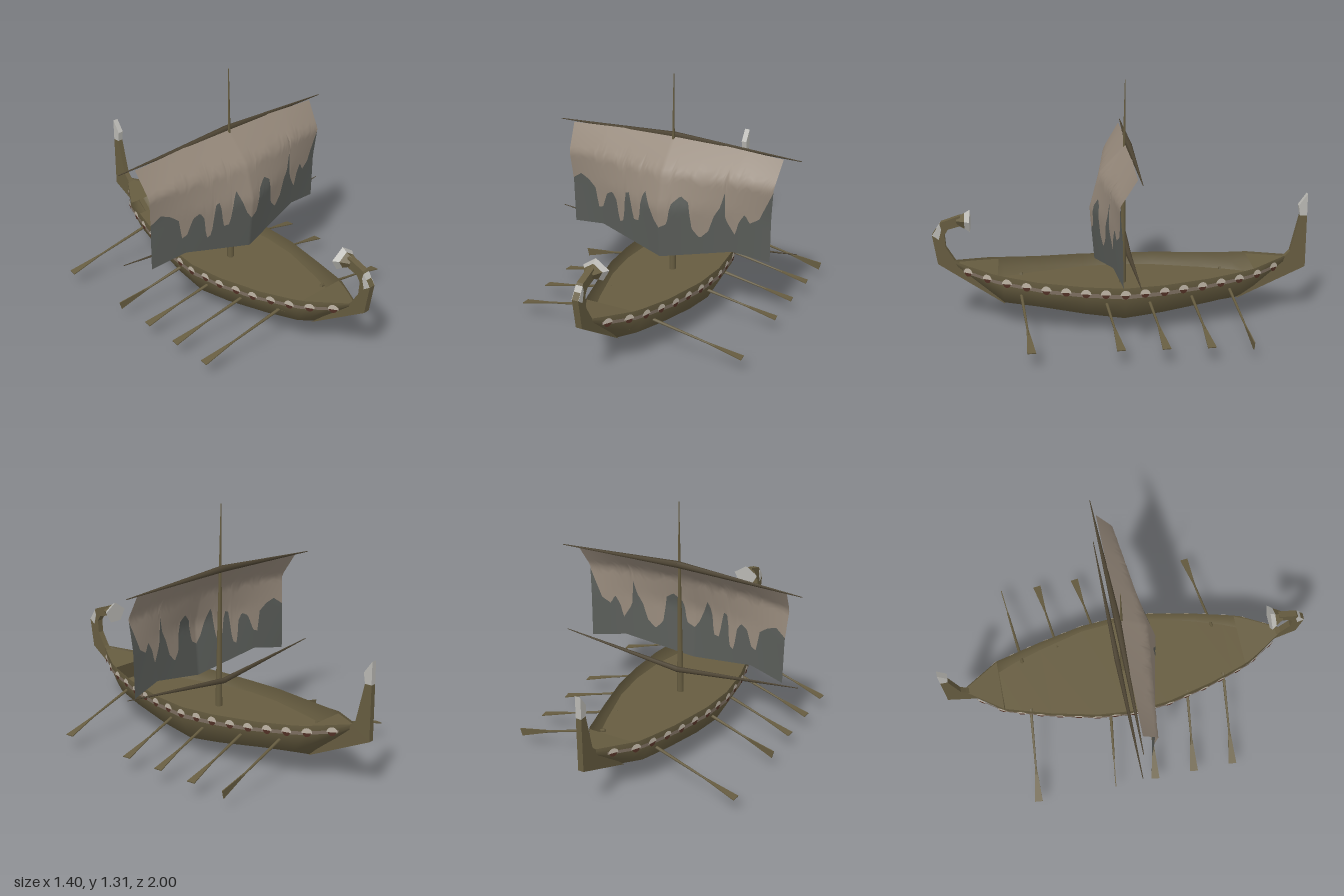
import * as THREE from 'three';

const mat = (name, color, side = THREE.FrontSide) => {
  const m = new THREE.MeshStandardMaterial({ color, side });
  m.name = name;
  return m;
};

// Piecewise linear lookup in [[key, value], ...]
function lerpTable(table, k) {
  if (k <= table[0][0]) return table[0][1];
  for (let i = 1; i < table.length; i++) {
    const [a, va] = table[i - 1], [b, vb] = table[i];
    if (k <= b) return va + (vb - va) * (k - a) / (b - a);
  }
  return table[table.length - 1][1];
}

// Smooth grid surface from fn(i, j) -> [x, y, z]
function gridSurface(fn, nu, nv) {
  const pos = [], index = [];
  for (let i = 0; i <= nu; i++) for (let j = 0; j <= nv; j++) pos.push(...fn(i, j));
  for (let i = 0; i < nu; i++) for (let j = 0; j < nv; j++) {
    const a = i * (nv + 1) + j, b = a + nv + 1;
    index.push(a, b, a + 1, b, b + 1, a + 1);
  }
  const g = new THREE.BufferGeometry();
  g.setAttribute('position', new THREE.Float32BufferAttribute(pos, 3));
  g.setIndex(index);
  g.computeVertexNormals();
  return g;
}

// Flat plate from a [z, y] outline, centred on x = 0
function keelPlate(points, depth) {
  const s = new THREE.Shape(points.map(p => new THREE.Vector2(...p)));
  const g = new THREE.ExtrudeGeometry(s, { depth, bevelEnabled: false });
  return g.translate(0, 0, -depth / 2).rotateY(-Math.PI / 2);
}

// Hull tables along z
const stations = [-0.9, -0.8, -0.7, -0.63, -0.45, -0.2, 0, 0.2, 0.45, 0.63, 0.69, 0.8, 0.89];
const railW = [[-0.9, 0.006], [-0.7, 0.14], [-0.45, 0.21], [-0.2, 0.265], [0, 0.28], [0.2, 0.265],
  [0.43, 0.215], [0.68, 0.14], [0.8, 0.068], [0.89, 0.012]];
const railY = [[-0.9, 0.335], [-0.63, 0.302], [-0.4, 0.284], [0, 0.272], [0.4, 0.285], [0.63, 0.31], [0.89, 0.35]];
const keelY = [[-0.9, 0.305], [-0.63, 0.098], [0, 0], [0.63, 0.105], [0.89, 0.33]];
const section = [[0, 0], [0.3, 0.77], [0.72, 1], [1, 1]];
const halfAt = (z, y) => {
  const k = lerpTable(keelY, z);
  return lerpTable(railW, z) * lerpTable(section, (y - k) / (lerpTable(railY, z) - k));
};

export function createModel() {
  const model = new THREE.Group();
  model.name = 'longship';
  const wood = mat('wood', 0x665c40);
  const woodThin = mat('hull wood', 0x665c40, THREE.DoubleSide);
  const darkWood = mat('spar wood', 0x4d4433);
  const cloth = mat('sail cloth', 0x95887a, THREE.DoubleSide);
  const dirty = mat('stained cloth', 0x595c58, THREE.DoubleSide);
  const bone = mat('pale trim', 0xb9b8b3);
  const band = mat('shield band', 0x7b6d5f, THREE.DoubleSide);
  const pale = mat('shield pale', 0xbdb3a4, THREE.DoubleSide);
  const red = mat('shield red', 0x4f2f24, THREE.DoubleSide);
  const add = (name, geo, m, parent = model) => {
    const mesh = new THREE.Mesh(geo, m);
    mesh.name = name;
    parent.add(mesh);
    return mesh;
  };

  // Hull shell, rail to rail
  const around = [-3, -2, -1, 0, 1, 2, 3];
  add('hull', gridSurface((i, j) => {
    const z = stations[i], s = around[j], [f, w] = section[Math.abs(s)];
    const k = lerpTable(keelY, z);
    return [Math.sign(s) * w * lerpTable(railW, z), k + f * (lerpTable(railY, z) - k), z];
  }, stations.length - 1, 6), woodThin);

  // Floor and raised end decks
  const deck = (name, zs, yOf) => add(name, gridSurface((i, j) => {
    const y = yOf(zs[i]);
    return [(j ? 1 : -1) * halfAt(zs[i], y) * 0.99, y, zs[i]];
  }, zs.length - 1, 1), woodThin);
  deck('floor', [-0.7, -0.6, -0.45, -0.2, 0, 0.2, 0.45, 0.6, 0.68], () => 0.205);
  deck('foreDeck', [0.66, 0.73, 0.8, 0.88], z => lerpTable(railY, z) - 0.012);
  deck('aftDeck', [-0.89, -0.8, -0.7], z => lerpTable(railY, z) - 0.012);
  for (const [name, z0, z1, m] of [['foreBulkhead', 0.68, 0.66, woodThin], ['aftBulkhead', -0.685, -0.7, darkWood]])
    add(name, gridSurface((i, j) => {
      const z = i ? z1 : z0, y = i ? lerpTable(railY, z) - 0.012 : 0.205;
      return [(j ? 1 : -1) * halfAt(z, y) * 0.99, y, z];
    }, 1, 1), m);

  // Curled stem with a flared, pale five-sided end
  add('stem', keelPlate([[0.63, 0.105], [0.975, 0.34], [1, 0.5], [0.95, 0.57], [0.85, 0.603], [0.84, 0.55],
    [0.915, 0.53], [0.935, 0.5], [0.93, 0.43], [0.885, 0.355]], 0.034), wood);
  add('stemTrim', keelPlate([[0.965, 0.475], [0.999, 0.5], [0.958, 0.56], [0.95, 0.53]], 0.038), bone);
  const penta = [[0, 0.055], [0.072, 0.005], [0.037, -0.057], [-0.037, -0.057], [-0.072, 0.005]];
  const flare = (s0, z0, s1, z1) => gridSurface((i, j) => {
    const [x, y] = penta[j % 5], s = i ? s1 : s0;
    return [x * s, 0.576 + y * s, i ? z1 : z0];
  }, 1, 5).toNonIndexed();
  const flareParts = [['headNeck', flare(0.35, 0.87, 0.7, 0.828), woodThin], ['headRim', flare(0.7, 0.828, 1, 0.8), pale.clone()]];
  flareParts[1][2] = bone;
  bone.side = THREE.DoubleSide;
  for (const [name, g, m] of flareParts) {
    g.computeVertexNormals();
    add(name, g, m);
  }
  const face = new THREE.ShapeGeometry(new THREE.Shape(penta.map(p => new THREE.Vector2(...p))));
  add('headFace', face.rotateY(Math.PI), bone).position.set(0, 0.576, 0.8);

  // Stern post and its pale tip
  add('sternPost', keelPlate([[-0.63, 0.097], [-0.89, 0.335], [-0.915, 0.36], [-0.962, 0.56], [-1, 0.56],
    [-1, 0.27]], 0.03), wood);
  add('sternTip', keelPlate([[-0.962, 0.56], [-0.953, 0.615], [-1, 0.68], [-1, 0.56]], 0.03), bone);

  // Shield band with round shields along both rails
  for (const s of [1, -1]) {
    add('shieldBand', gridSurface((i, j) => {
      const z = -0.84 + i * 0.04;
      return [s * (lerpTable(railW, z) + 0.004), lerpTable(railY, z) - (j ? 0.035 : 0.058) * (1 - 0.3 * Math.abs(z)), z];
    }, 42, 1), band);
    for (let n = -8; n <= 8; n++) {
      const z = n * 0.102;
      const slope = (lerpTable(railW, z + 0.03) - lerpTable(railW, z - 0.03)) / 0.06;
      const shield = new THREE.Group();
      shield.name = 'shield';
      shield.position.set(s * (lerpTable(railW, z) + 0.007), lerpTable(railY, z) - 0.037, z);
      shield.rotation.y = Math.atan2(s, -slope);
      add('shieldTop', new THREE.CircleGeometry(0.027, 10, 0, Math.PI), pale, shield);
      add('shieldBottom', new THREE.CircleGeometry(0.02, 8, Math.PI, Math.PI), red, shield);
      model.add(shield);
    }
  }

  // Mast, upper yard and lower boom
  const spar = (name, a, b, r0, r1, sides, m) => {
    const A = new THREE.Vector3(...a), d = new THREE.Vector3(...b).sub(A);
    const mesh = add(name, new THREE.CylinderGeometry(r1, r0, d.length(), sides), m);
    mesh.position.copy(A).addScaledVector(d, 0.5);
    mesh.quaternion.setFromUnitVectors(new THREE.Vector3(0, 1, 0), d.normalize());
  };
  spar('mast', [0, 0.2, -0.005], [0, 1.31, -0.02], 0.019, 0.002, 8, wood);
  for (const s of [1, -1]) {
    spar('yardArm', [0, 0.97, -0.036], [s * 0.7, 0.945, -0.045], 0.018, 0.002, 6, darkWood);
    spar('boomArm', [0, 0.355, -0.04], [s * 0.7, 0.43, -0.04], 0.015, 0.002, 6, darkWood);
  }

  // Billowing sail, split along a ragged stain line
  const zMid = [[0, -0.03], [0.25, 0.12], [0.55, 0.17], [1, 0.145]];
  const zEdge = [[0, -0.03], [0.25, 0.055], [0.55, 0.04], [1, 0.035]];
  const xEdge = [[0, 0.61], [0.25, 0.595], [0.55, 0.582], [1, 0.58]];
  const bottom = [[0, 0.345], [0.66, 0.425], [1, 0.39]];
  const stain = [[-0.59, 0.65], [-0.53, 0.69], [-0.48, 0.67], [-0.43, 0.63], [-0.416, 0.52], [-0.385, 0.53],
    [-0.35, 0.62], [-0.31, 0.64], [-0.285, 0.6], [-0.27, 0.475], [-0.24, 0.49], [-0.22, 0.66], [-0.193, 0.67],
    [-0.17, 0.52], [-0.133, 0.52], [-0.114, 0.65], [-0.09, 0.705], [-0.06, 0.63], [-0.03, 0.56], [0, 0.52],
    [0.045, 0.545], [0.065, 0.66], [0.115, 0.71], [0.16, 0.68], [0.178, 0.53], [0.22, 0.485], [0.265, 0.53],
    [0.295, 0.62], [0.33, 0.68], [0.343, 0.77], [0.355, 0.61], [0.405, 0.525], [0.424, 0.6], [0.455, 0.65],
    [0.48, 0.6], [0.53, 0.63], [0.59, 0.79]];
  const sailPoint = (u, t) => {
    const a = Math.abs(u), top = 0.978 - 0.033 * a;
    const m = lerpTable(zMid, t), e = lerpTable(zEdge, t);
    return [u * lerpTable(xEdge, t), top + (lerpTable(bottom, a) - top) * t, m + (e - m) * a];
  };
  const cut = u => {
    const a = Math.abs(u), top = 0.978 - 0.033 * a;
    return (top - lerpTable(stain, u * 0.59)) / (top - lerpTable(bottom, a));
  };
  const cols = 120, rows = 12;
  const sail = (name, tOf, m) => add(name, gridSurface((i, j) => {
    const u = i / cols * 2 - 1;
    return sailPoint(u, tOf(cut(u), j / rows));
  }, cols, rows), m);
  sail('sailUpper', (c, v) => c * v, cloth);
  sail('sailLower', (c, v) => c + (1 - c) * v, dirty);

  // Oars: [side, z at hull, blade on edge]
  const oars = [[1, 0.54], [1, 0.1], [1, -0.125], [1, -0.35], [1, -0.56, true],
    [-1, 0.54], [-1, 0.32], [-1, 0.1], [-1, -0.125, true], [-1, -0.56]];
  const bladeShape = new THREE.Shape([[-0.005, 0], [0.005, 0], [0.022, 0.19], [-0.022, 0.19]].map(p => new THREE.Vector2(...p)));
  for (const [s, z, onEdge] of oars) {
    const oar = new THREE.Group();
    oar.name = 'oar';
    const x0 = lerpTable(railW, z) - 0.04, y0 = 0.085 + (0.64 - x0) * 0.257;
    const start = new THREE.Vector3(s * x0, y0, z), end = new THREE.Vector3(s * 0.635, 0.085, z - 0.05);
    const len = start.distanceTo(end);
    oar.position.copy(start);
    oar.lookAt(end);
    if (onEdge) oar.rotateZ(Math.PI / 2);
    add('oarShaft', new THREE.CylinderGeometry(0.005, 0.009, len - 0.15, 6).rotateX(Math.PI / 2)
      .translate(0, 0, (len - 0.15) / 2), wood, oar);
    add('oarBlade', new THREE.ExtrudeGeometry(bladeShape, { depth: 0.005, bevelEnabled: false })
      .translate(0, 0, -0.0025).rotateX(Math.PI / 2).translate(0, 0, len - 0.19), wood, oar);
    model.add(oar);
  }
  return model;
}
